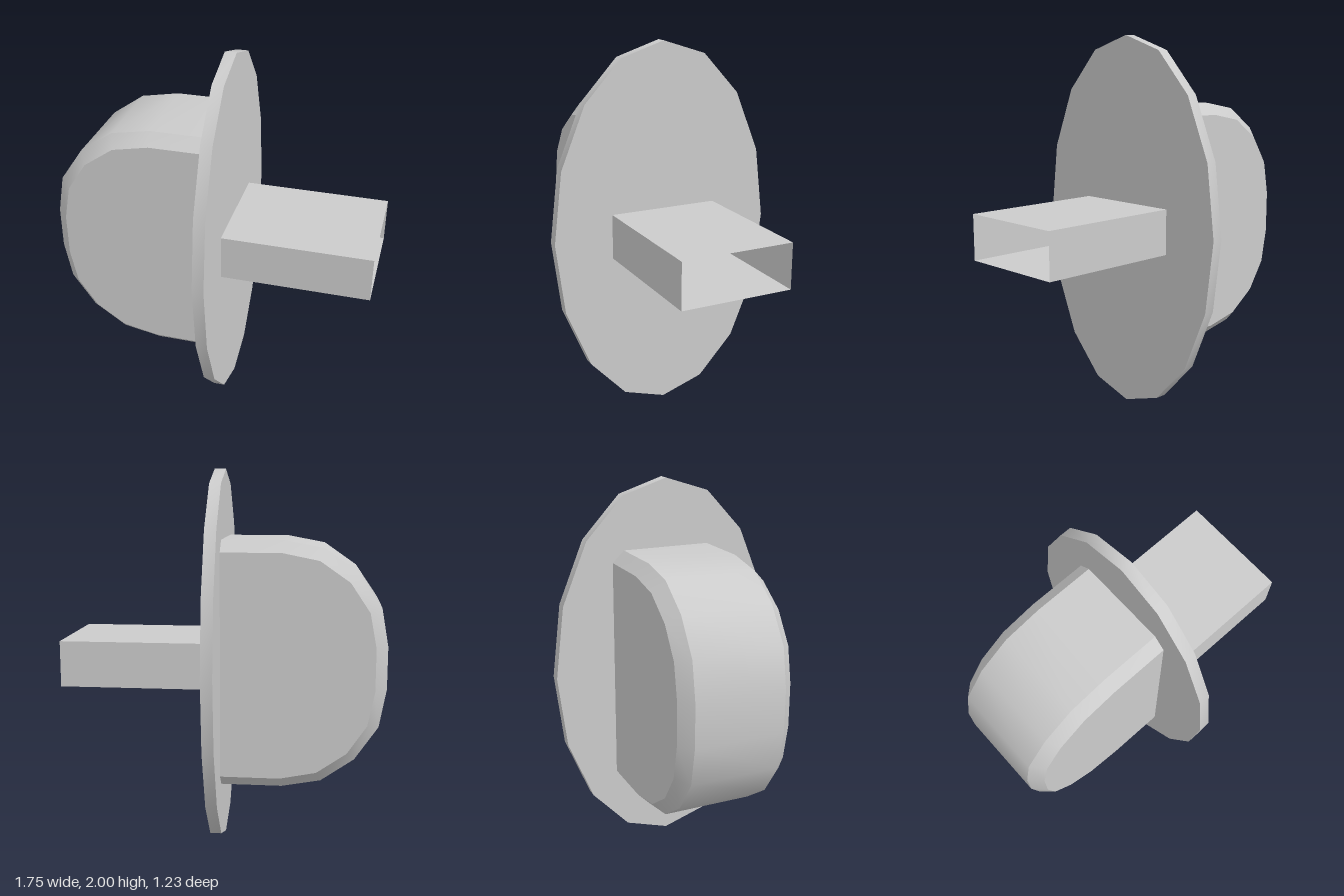
import * as THREE from 'three';
import { toCreasedNormals } from 'three/addons/utils/BufferGeometryUtils.js';

const material = new THREE.MeshStandardMaterial({ color: 0xcccccc, side: THREE.DoubleSide });
const HALF_DEPTH = 0.297, TUBE_HEIGHT = 0.24;

function part(name, geometry) {
  const mesh = new THREE.Mesh(geometry, material);
  mesh.name = name;
  return mesh;
}

// Hollow D-shaped housing: outlines lofted across the depth, with bevelled edges
function housingGeometry() {
  const mirrored = half => [...half, ...half.map(([x, y]) => [x, -y]).reverse()];
  const outer = mirrored([[0, 0.645], [-0.32, 0.645], [-0.523, 0.607], [-0.695, 0.487], [-0.816, 0.31], [-0.852, 0.11]]);
  const inner = mirrored([[0, 0.585], [-0.31, 0.585], [-0.5, 0.547], [-0.654, 0.44], [-0.755, 0.29], [-0.79, 0.11]]);
  const rings = [[inner, -HALF_DEPTH], [outer, -0.235], [outer, 0.235], [inner, HALF_DEPTH]];
  const n = outer.length, positions = [], index = [];
  for (const [outline, z] of rings) for (const [x, y] of outline) positions.push(x, y, z);
  for (let j = 0; j < 3; j++) {
    for (let i = 0; i < n - 1; i++) {
      const a = j * n + i, b = a + 1, c = b + n, d = a + n;
      index.push(a, b, c, a, c, d);
    }
  }
  // Flat front and back faces
  for (let i = 1; i < n - 1; i++) {
    index.push(3 * n, 3 * n + i, 3 * n + i + 1);
    index.push(0, i + 1, i);
  }
  const geometry = new THREE.BufferGeometry();
  geometry.setAttribute('position', new THREE.Float32BufferAttribute(positions, 3));
  geometry.setIndex(index);
  return toCreasedNormals(geometry, 0.7);
}

// Sixteen-sided oval plate with a slot for the tube
function flangeGeometry() {
  const oval = [];
  for (let i = 0; i < 16; i++) {
    const a = (i / 16) * Math.PI * 2;
    oval.push(new THREE.Vector2(0.617 * Math.cos(a), Math.sin(a)));
  }
  const shape = new THREE.Shape(oval);
  const w = HALF_DEPTH, h = TUBE_HEIGHT / 2;
  shape.holes.push(new THREE.Path([[-w, -h], [-w, h], [w, h], [w, -h]].map(p => new THREE.Vector2(...p))));
  const geometry = new THREE.ExtrudeGeometry(shape, { depth: 0.06, bevelEnabled: false });
  geometry.rotateY(Math.PI / 2);
  return toCreasedNormals(geometry, 0.7);
}

// Thin rectangular sleeve, open at both ends
function sleeveGeometry() {
  const length = 0.837;
  const geometry = new THREE.BoxGeometry(length, TUBE_HEIGHT, 2 * HALF_DEPTH);
  geometry.setIndex(Array.from(geometry.index.array).slice(12)); // drop the two end faces
  geometry.translate(length / 2, 0, 0);
  return geometry.toNonIndexed();
}

export function createModel() {
  const model = new THREE.Group();
  model.name = 'housingWithSleeve';
  model.add(
    part('housing', housingGeometry()),
    part('flange', flangeGeometry()),
    part('sleeve', sleeveGeometry())
  );
  // The whole assembly is turned slightly about the vertical
  model.rotation.y = THREE.MathUtils.degToRad(9);
  model.position.y = 1;
  const root = new THREE.Group();
  root.add(model);
  return root;
}
